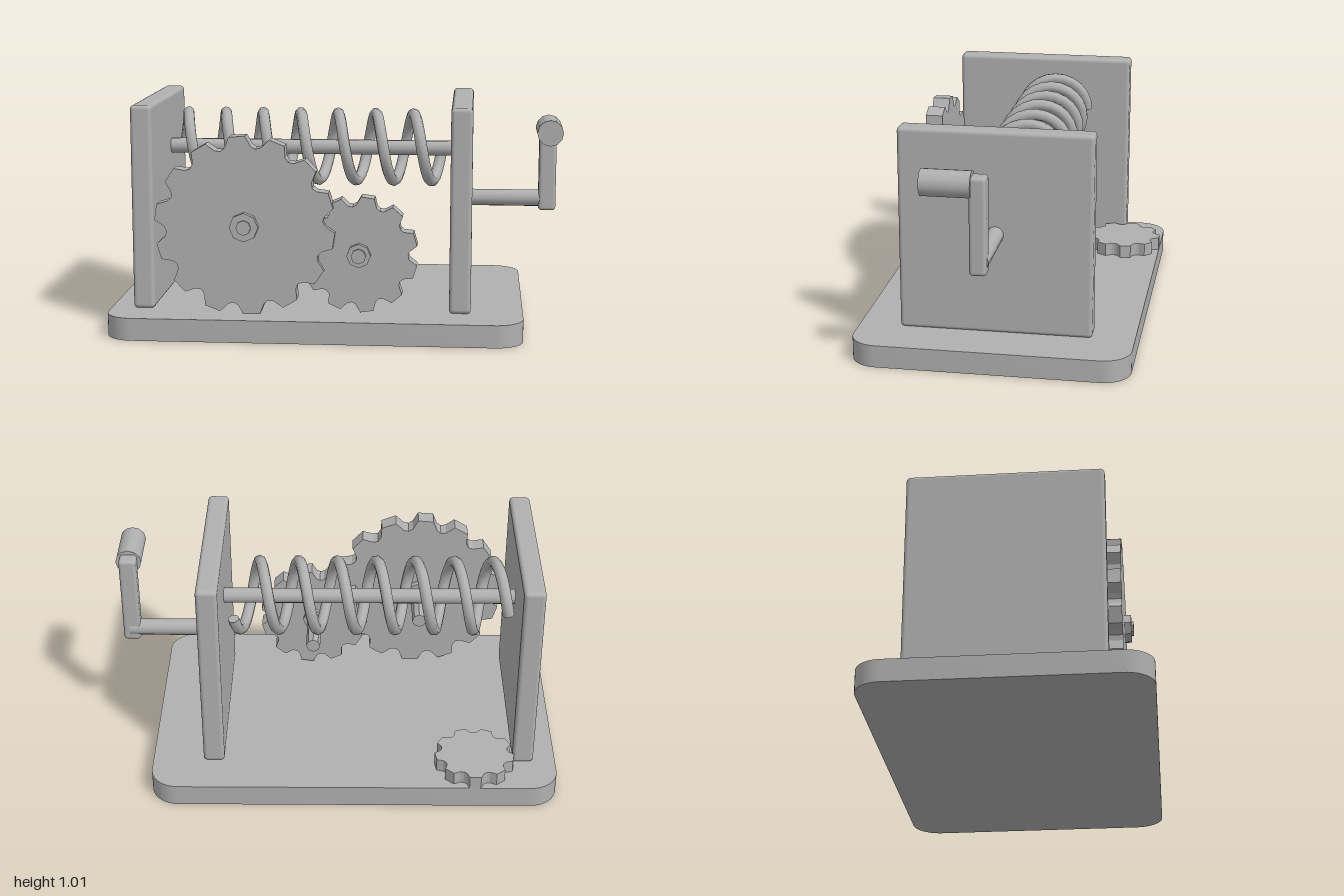
import * as THREE from 'three';
import { toCreasedNormals } from 'three/addons/utils/BufferGeometryUtils.js';
import { RoundedBoxGeometry } from 'three/addons/geometries/RoundedBoxGeometry.js';

const metal = new THREE.MeshStandardMaterial({ color: 0xb0b0b0 });
metal.name = 'grey metal';

function createPart(name, geometry, x, y, z) {
  const mesh = new THREE.Mesh(geometry, metal);
  mesh.name = name;
  mesh.position.set(x, y, z);
  return mesh;
}

// Cylinder along a given axis, centred on its own middle
function rod(radius, length, axis, sides) {
  const g = new THREE.CylinderGeometry(radius, radius, length, sides);
  if (axis === 'x') g.rotateZ(Math.PI / 2);
  if (axis === 'z') g.rotateX(Math.PI / 2);
  return g;
}

// Gear disc facing +z, with flat tooth tips and hollowed gaps
function gear(outer, root, teeth, depth, phase) {
  const shape = new THREE.Shape();
  const pitch = (Math.PI * 2) / teeth;
  const profile = [[-0.2, outer], [0.2, outer], [0.36, root * 1.03], [0.5, root], [0.64, root * 1.03]];
  for (let i = 0; i < teeth; i++) {
    profile.forEach(([t, r], k) => {
      const a = phase + (i + t) * pitch;
      if (i + k === 0) shape.moveTo(r * Math.cos(a), r * Math.sin(a));
      else shape.lineTo(r * Math.cos(a), r * Math.sin(a));
    });
  }
  shape.closePath();
  return new THREE.ExtrudeGeometry(shape, { depth, bevelEnabled: false });
}

// Base plate with rounded corners
function baseGeometry(w, d, h, r) {
  const s = new THREE.Shape();
  const x = w / 2 - r, y = d / 2 - r;
  s.absarc(x, y, r, 0, Math.PI / 2);
  s.absarc(-x, y, r, Math.PI / 2, Math.PI);
  s.absarc(-x, -y, r, Math.PI, Math.PI * 1.5);
  s.absarc(x, -y, r, Math.PI * 1.5, Math.PI * 2);
  const g = new THREE.ExtrudeGeometry(s, { depth: h, bevelEnabled: false, curveSegments: 6 });
  g.rotateX(-Math.PI / 2);
  return toCreasedNormals(g, 0.6);
}

// Helix along x, starting and ending at the back
class Helix extends THREE.Curve {
  getPoint(t, target = new THREE.Vector3()) {
    const turns = 6.97 * t, a = turns * Math.PI * 2;
    return target.set(-0.765 + turns * 0.175, 0.155 * Math.sin(a), -0.155 * Math.cos(a));
  }
}

function createSpring() {
  const spring = new THREE.Group();
  spring.name = 'spring';
  const path = new Helix();
  spring.add(createPart('coil', new THREE.TubeGeometry(path, 168, 0.026, 8), 0, 0, 0));
  // Caps on the open wire ends
  for (const t of [0, 1]) {
    const p = path.getPoint(t);
    const cap = createPart('coilEnd', new THREE.CircleGeometry(0.026, 8), p.x, p.y, p.z);
    const dir = path.getTangent(t).multiplyScalar(t ? 1 : -1);
    cap.quaternion.setFromUnitVectors(new THREE.Vector3(0, 0, 1), dir);
    spring.add(cap);
  }
  spring.position.set(0, 0.77, -0.065);
  return spring;
}

// Upright gear with hub and axle; z values are back and front
function createGearUnit(name, x, y, disc, discZ, hubR, hubZ, axleZ) {
  const unit = new THREE.Group();
  unit.name = name;
  unit.add(createPart('gearDisc', disc, 0, 0, discZ));
  for (const [part, r, [a, b]] of [['hub', hubR, hubZ], ['axle', 0.033, axleZ]]) {
    const g = toCreasedNormals(rod(r, b - a, 'z', 8), 0.5);
    unit.add(createPart(part, g, 0, 0, (a + b) / 2));
  }
  unit.position.set(x, y, 0);
  return unit;
}

export function createModel() {
  const model = new THREE.Group();
  model.name = 'spring gear mechanism';

  // Base and the two upright plates
  model.add(createPart('base', baseGeometry(1.83, 1.22, 0.1, 0.125), -0.085, 0, 0));
  for (const [name, x] of [['rightPlate', -0.852], ['leftPlate', 0.553]]) {
    model.add(createPart(name, new RoundedBoxGeometry(0.095, 0.91, 0.85, 3, 0.018), x, 0.555, 0));
  }

  // Main shaft and the spring around it
  model.add(createPart('mainShaft', rod(0.035, 1.34, 'x', 10), -0.15, 0.768, -0.065));
  model.add(createSpring());

  // Meshing gears at the front
  model.add(createGearUnit('largeGear', -0.39, 0.49, gear(0.398, 0.345, 14, 0.08, 0.3),
    0.4, 0.064, [0.37, 0.51], [0.15, 0.52]));
  model.add(createGearUnit('smallGear', 0.11, 0.365, gear(0.258, 0.215, 11, 0.083, 0.28),
    0.365, 0.053, [0.345, 0.475], [0.12, 0.49]));

  // Loose gear lying on the base
  const loose = gear(0.18, 0.15, 9, 0.06, 0.15);
  loose.rotateX(-Math.PI / 2);
  model.add(createPart('looseGear', loose, -0.63, 0.1, -0.43));

  // Crank
  const crank = new THREE.Group();
  crank.name = 'crank';
  crank.add(createPart('crankRod', rod(0.038, 0.37, 'x', 12), 0.765, 0.552, 0));
  crank.add(createPart('crankArm', new RoundedBoxGeometry(0.078, 0.42, 0.072, 3, 0.015), 0.94, 0.71, 0.004));
  crank.add(createPart('crankHandle', rod(0.058, 0.212, 'z', 12), 0.941, 0.882, 0.136));
  model.add(crank);

  return model;
}
